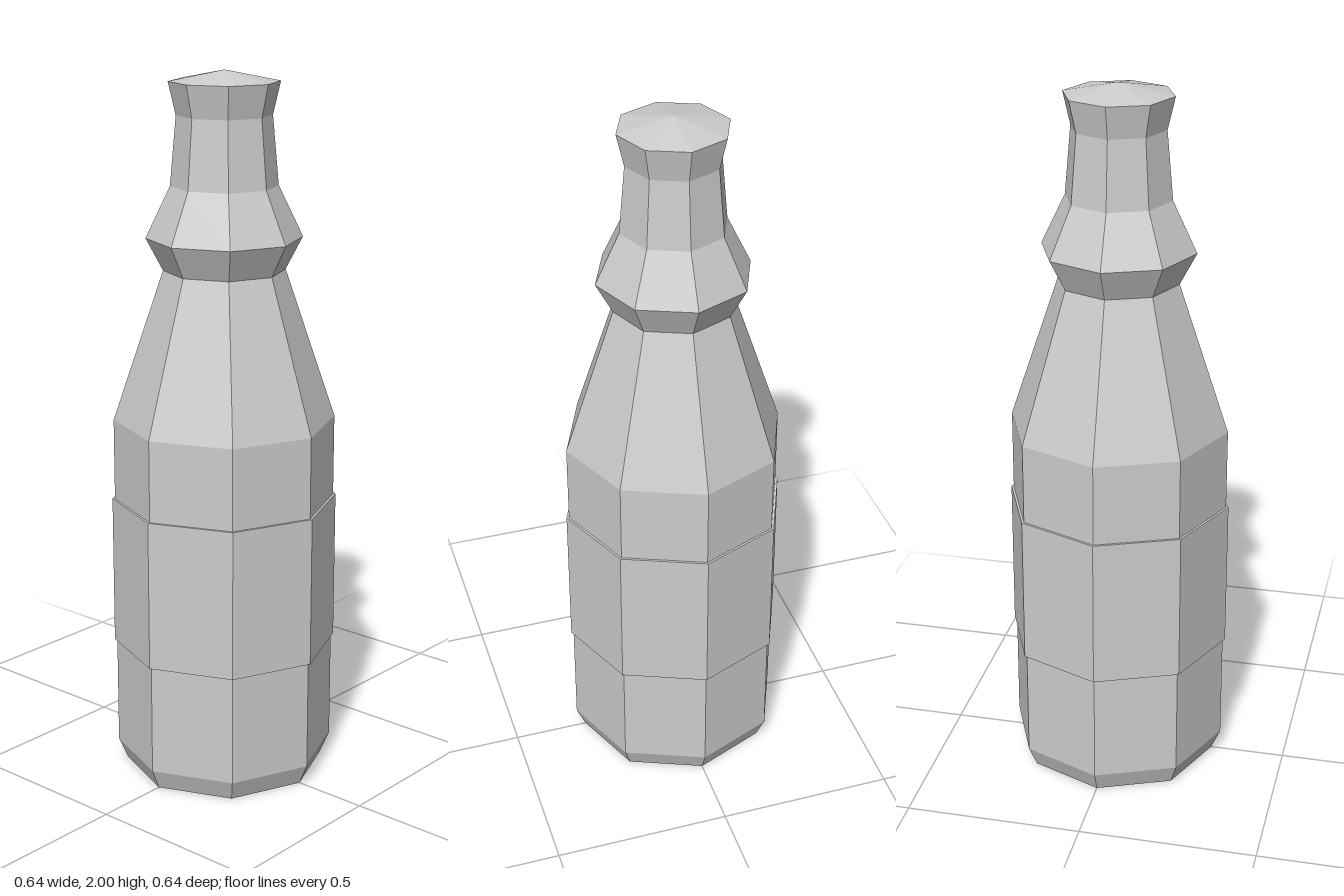
import * as THREE from 'three';

const SIDES = 8;

export function createModel() {
  const group = new THREE.Group();
  group.name = 'bottle';
  const grey = new THREE.MeshStandardMaterial({ color: 0xcccccc, flatShading: true });
  grey.name = 'light grey';

  // Eight-sided turned part from [radius, height] pairs, listed bottom to top
  const turned = (name, profile) => {
    const points = profile.map(([r, y]) => new THREE.Vector2(r, y));
    const mesh = new THREE.Mesh(new THREE.LatheGeometry(points, SIDES), grey);
    mesh.name = name;
    group.add(mesh);
  };

  // Closed base with chamfered foot, and straight body
  turned('body', [[0, 0], [0.285, 0], [0.311, 0.06], [0.311, 1.035]]);

  // Slightly raised label wrapped around the body
  turned('labelBand', [[0.311, 0.376], [0.318, 0.376], [0.318, 0.804], [0.311, 0.804]]);

  // Tapering shoulder
  turned('shoulder', [[0.311, 1.035], [0.169, 1.458]]);

  // Flared collar and slim neck
  turned('neck', [[0.169, 1.458], [0.216, 1.548], [0.148, 1.69], [0.131, 1.88]]);

  // Flared cap with a shallow peak
  turned('cap', [[0.131, 1.88], [0.152, 1.97], [0, 2]]);

  return group;
}
